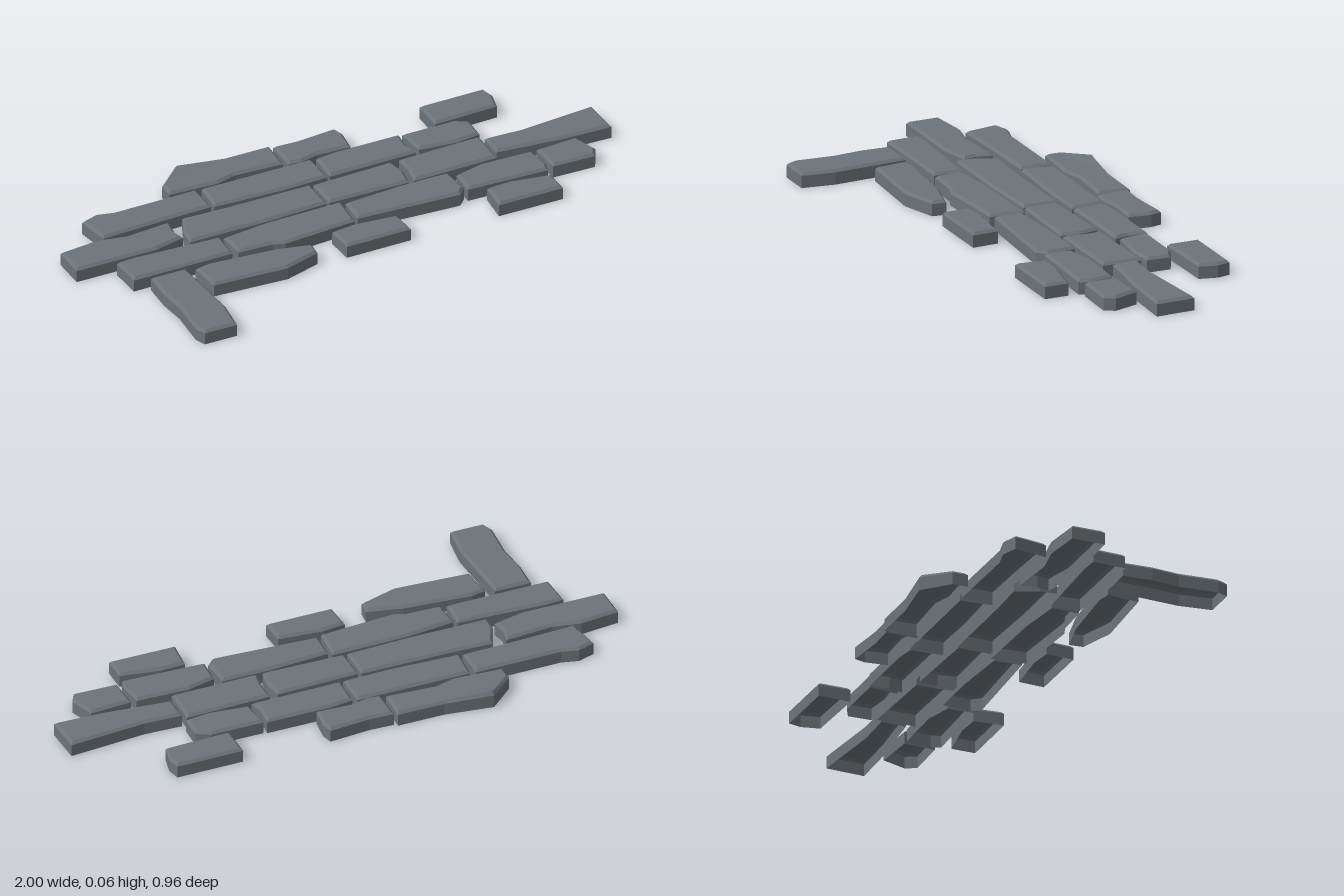
import * as THREE from 'three';

const HEIGHT = 0.052, SHOULDER = 0.043, INSET = 0.009;

// Stone outlines per course, as x, z pairs running clockwise seen from above
const backCourse = [
  [-0.51, -0.40, -0.42, -0.483, -0.25, -0.46, -0.08, -0.46, -0.085, -0.345, -0.26, -0.355, -0.33, -0.335, -0.51, -0.345],
  [-0.07, -0.45, 0.02, -0.447, 0.165, -0.46, 0.175, -0.42, 0.165, -0.34, 0.04, -0.345, -0.02, -0.33, -0.07, -0.335],
  [0.48, -0.455, 0.72, -0.457, 0.73, -0.41, 0.715, -0.345, 0.48, -0.338],
];
const secondCourse = [
  [-0.85, -0.32, -0.79, -0.34, -0.73, -0.325, -0.42, -0.328, -0.42, -0.215, -0.6, -0.21, -0.83, -0.2],
  [-0.4, -0.325, 0.01, -0.325, 0.01, -0.205, -0.15, -0.2, -0.41, -0.21],
  [0.025, -0.32, 0.1, -0.33, 0.34, -0.33, 0.333, -0.26, 0.345, -0.21, 0.02, -0.205],
  [0.35, -0.325, 0.54, -0.325, 0.588, -0.3, 0.585, -0.215, 0.5, -0.205, 0.36, -0.22],
];
const middleCourse = [
  [-1, -0.18, -0.86, -0.195, -0.76, -0.175, -0.59, -0.19, -0.6, -0.13, -0.59, -0.085, -0.7, -0.06, -1, -0.06],
  [-0.54, -0.19, -0.4, -0.185, -0.065, -0.185, -0.065, -0.06, -0.3, -0.05, -0.58, -0.05, -0.575, -0.11],
  [-0.055, -0.18, 0.24, -0.19, 0.252, -0.12, 0.24, -0.055, -0.055, -0.06],
  [0.27, -0.19, 0.575, -0.2, 0.572, -0.06, 0.26, -0.055, 0.27, -0.12],
  [0.585, -0.18, 0.72, -0.175, 0.995, -0.2, 1, -0.06, 0.83, -0.065, 0.585, -0.09],
];
const fourthCourse = [
  [-0.86, -0.04, -0.8, -0.045, -0.48, -0.03, -0.485, 0.075, -0.855, 0.078],
  [-0.47, -0.02, -0.3, -0.04, -0.02, -0.045, -0.03, 0.08, -0.3, 0.1, -0.34, 0.085, -0.465, 0.08],
  [-0.01, -0.03, 0.2, -0.045, 0.38, -0.045, 0.388, 0.06, 0.36, 0.09, -0.015, 0.07],
  [0.4, -0.02, 0.5, -0.045, 0.69, -0.04, 0.7, 0.05, 0.69, 0.085, 0.395, 0.075],
  [0.71, -0.04, 0.86, -0.05, 0.89, 0.04, 0.87, 0.077, 0.715, 0.073],
];
const frontCourse = [
  [-0.8, 0.095, -0.67, 0.095, -0.655, 0.36, -0.67, 0.478, -0.79, 0.478, -0.805, 0.44, -0.795, 0.3, -0.805, 0.2],
  [-0.64, 0.11, -0.59, 0.1, -0.35, 0.12, -0.225, 0.15, -0.23, 0.2, -0.36, 0.24, -0.63, 0.225],
  [-0.13, 0.11, -0.05, 0.1, 0.11, 0.115, 0.115, 0.208, -0.125, 0.21],
  [0.455, 0.1, 0.54, 0.095, 0.685, 0.12, 0.685, 0.207, 0.445, 0.207],
];

// Move each corner inwards along its mitre
function insetOutline(points, distance) {
  return points.map((p, i) => {
    const before = points[(i + points.length - 1) % points.length];
    const after = points[(i + 1) % points.length];
    const d1 = p.clone().sub(before).normalize(), d2 = after.clone().sub(p).normalize();
    const n1 = new THREE.Vector2(-d1.y, d1.x), n2 = new THREE.Vector2(-d2.y, d2.x);
    const mitre = n1.clone().add(n2);
    return mitre.multiplyScalar(distance / (1 + n1.dot(n2))).add(p);
  });
}

// Hollow slab: upright walls, a chamfer and a flat top, open below
function stoneGeometry(coords, lifts) {
  const outline = [];
  for (let i = 0; i < coords.length; i += 2) outline.push(new THREE.Vector2(coords[i], coords[i + 1]));
  const inner = insetOutline(outline, INSET);
  const n = outline.length, positions = [], index = [];
  const addRing = (ring, y, lift) => ring.forEach((p, i) => positions.push(p.x, y + lift * (lifts[i] || 0), p.y));
  addRing(outline, 0, 0);
  addRing(outline, SHOULDER, 0.5);
  addRing(inner, HEIGHT, 1);
  for (let ring = 0; ring < 2; ring++) {
    for (let i = 0; i < n; i++) {
      const a = ring * n + i, b = ring * n + (i + 1) % n;
      index.push(a, a + n, b + n, a, b + n, b);
    }
  }
  for (const [a, b, c] of THREE.ShapeUtils.triangulateShape(inner, [])) {
    const up = THREE.ShapeUtils.area([inner[a], inner[b], inner[c]]) < 0;
    index.push(2 * n + a, 2 * n + (up ? b : c), 2 * n + (up ? c : b));
  }
  const geometry = new THREE.BufferGeometry();
  geometry.setAttribute('position', new THREE.Float32BufferAttribute(positions, 3));
  geometry.setIndex(index);
  const faceted = geometry.toNonIndexed();
  faceted.computeVertexNormals();
  return faceted;
}

export function createModel() {
  const model = new THREE.Group();
  model.name = 'stonePath';
  const slate = new THREE.MeshStandardMaterial({ color: 0x6c7378, flatShading: true, side: THREE.DoubleSide });
  slate.name = 'slate grey';

  const courses = { backCourse, secondCourse, middleCourse, fourthCourse, frontCourse };
  for (const [name, stones] of Object.entries(courses)) {
    const course = new THREE.Group();
    course.name = name;
    stones.forEach((coords, i) => {
      // The pointed back stone has one raised corner
      const lifts = name === 'backCourse' && i === 0 ? [0, 0.007] : [];
      const stone = new THREE.Mesh(stoneGeometry(coords, lifts), slate);
      stone.name = `pavingStone${i + 1}`;
      course.add(stone);
    });
    model.add(course);
  }
  return model;
}
